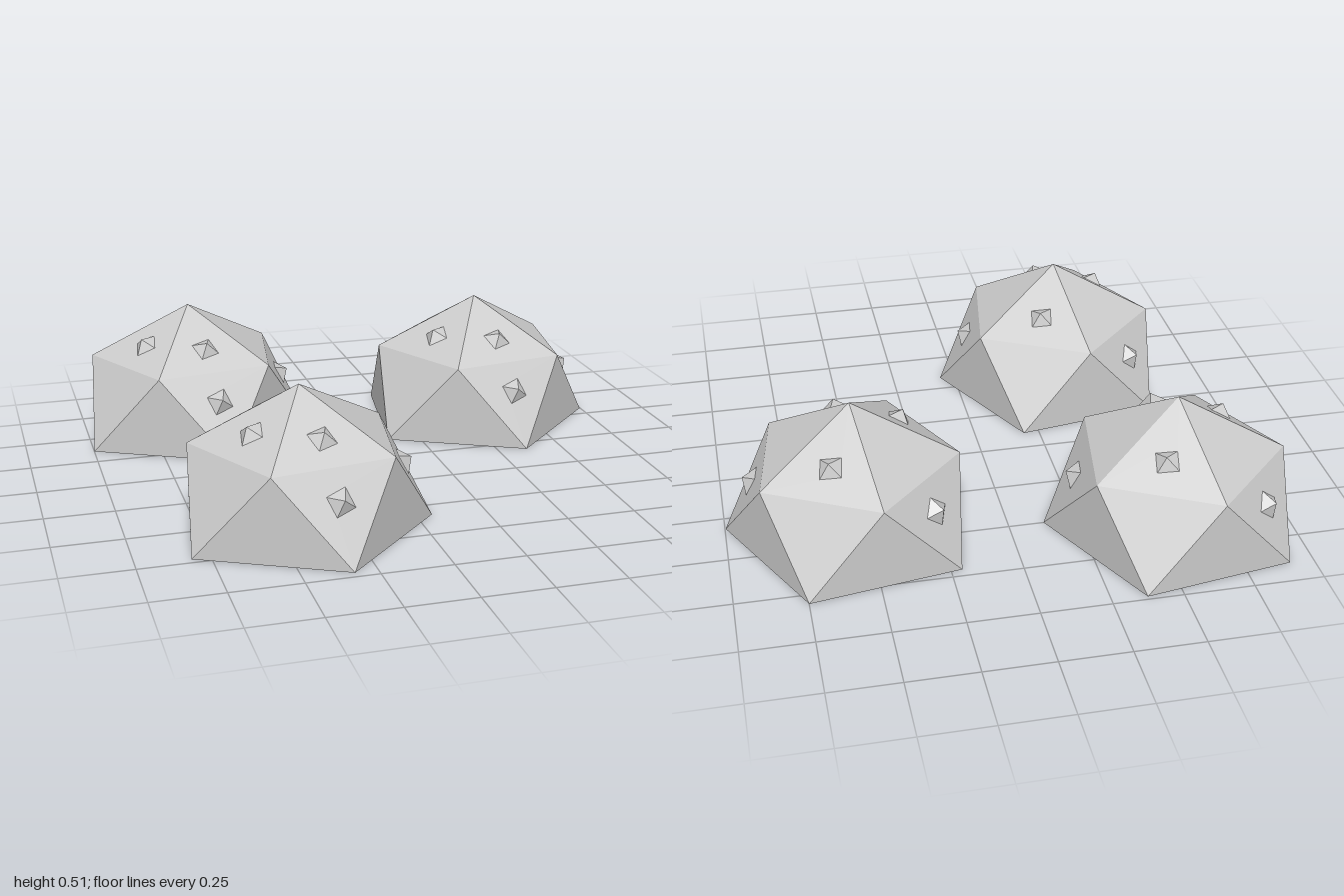
import * as THREE from 'three';

const RIM_RADIUS = 0.464, RING_RADIUS = 0.377, RING_Y = 0.306, APEX_Y = 0.506;
const STUD_RADIUS = 0.053, STUD_HEIGHT = 0.036;
// in-plane turn of the stud on each studded face, in degrees
const CAP_STUDS = { 1: 15, 2: 50, 4: 15 };
const SIDE_STUDS = { 0: 0, 1: 18, 3: 45 };

const material = new THREE.MeshStandardMaterial({
  color: 0xcccccc, flatShading: true, side: THREE.DoubleSide,
});

// point on a horizontal ring, angle in degrees
function ringPoint(radius, y, degrees) {
  const a = THREE.MathUtils.degToRad(degrees);
  return new THREE.Vector3(radius * Math.cos(a), y, radius * Math.sin(a));
}

// triangular panel, optionally cut by a square opening with a hollow pyramid over it
function addPanel(dome, name, corners, studTurn) {
  const centre = corners[0].clone().add(corners[1]).add(corners[2]).divideScalar(3);
  const normal = new THREE.Vector3().crossVectors(
    corners[1].clone().sub(corners[0]), corners[2].clone().sub(corners[0])).normalize();
  if (normal.dot(centre) < 0) normal.negate();
  const right = new THREE.Vector3(0, 1, 0).cross(normal).normalize();
  const up = normal.clone().cross(right);

  const panel = new THREE.Group();
  panel.name = name;
  panel.position.copy(centre);
  panel.quaternion.setFromRotationMatrix(new THREE.Matrix4().makeBasis(right, up, normal));

  const shape = new THREE.Shape(corners.map((c) => {
    const d = c.clone().sub(centre);
    return new THREE.Vector2(d.dot(right), d.dot(up));
  }));

  if (studTurn !== undefined) {
    const turn = THREE.MathUtils.degToRad(studTurn);
    const square = [0, 1, 2, 3].map((i) => {
      const a = turn + Math.PI / 4 + i * Math.PI / 2;
      return new THREE.Vector2(STUD_RADIUS * Math.cos(a), STUD_RADIUS * Math.sin(a));
    });
    shape.holes.push(new THREE.Path(square));
    const pyramid = new THREE.ConeGeometry(STUD_RADIUS, STUD_HEIGHT, 4, 1, true)
      .translate(0, STUD_HEIGHT / 2, 0)
      .rotateX(Math.PI / 2)
      .rotateZ(turn + Math.PI / 4);
    const stud = new THREE.Mesh(pyramid, material);
    stud.name = 'stud';
    panel.add(stud);
  }

  const face = new THREE.Mesh(new THREE.ShapeGeometry(shape), material);
  face.name = 'panel';
  panel.add(face);
  dome.add(panel);
}

// open-bottomed faceted dome: five cap panels over ten side panels
function createDome() {
  const dome = new THREE.Group();
  const apex = new THREE.Vector3(0, APEX_Y, 0.02);
  const rim = (i) => ringPoint(RIM_RADIUS, 0, 9 + 72 * i);
  const ring = (i) => ringPoint(RING_RADIUS, RING_Y, 45 + 72 * i);
  for (let i = 0; i < 5; i++) {
    addPanel(dome, 'capPanel', [apex, ring(i - 1), ring(i)], CAP_STUDS[i]);
    addPanel(dome, 'upperSidePanel', [ring(i - 1), ring(i), rim(i)], SIDE_STUDS[i]);
    addPanel(dome, 'lowerSidePanel', [rim(i), rim(i + 1), ring(i)]);
  }
  return dome;
}

export function createModel() {
  const model = new THREE.Group();
  model.name = 'domes';
  const places = [
    ['backRightDome', -0.586, -0.572],
    ['leftDome', 0.539, -0.386],
    ['frontRightDome', -0.401, 0.512],
  ];
  for (const [name, x, z] of places) {
    const dome = createDome();
    dome.name = name;
    dome.position.set(x, 0, z);
    model.add(dome);
  }
  return model;
}
